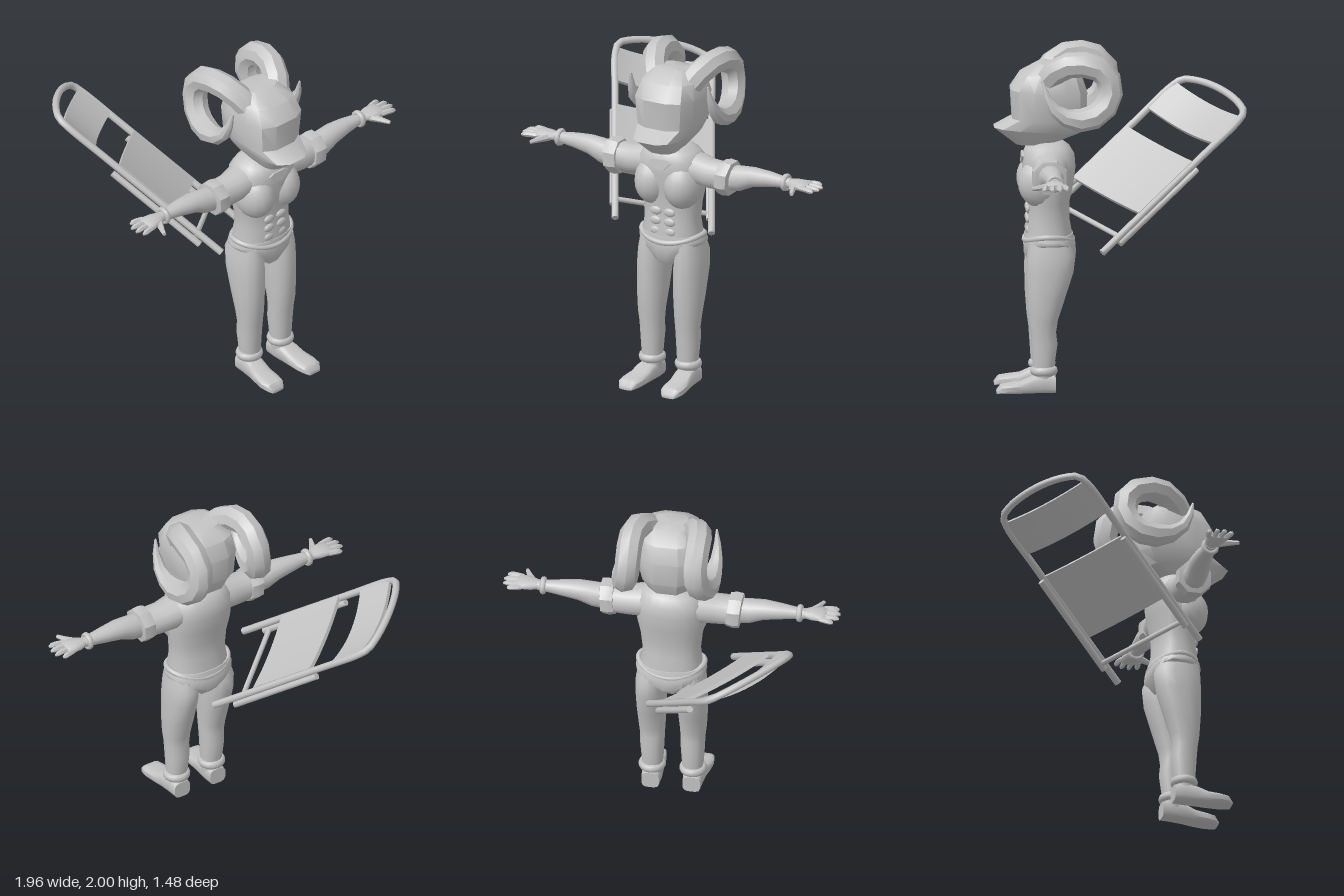
import * as THREE from 'three';
import { toCreasedNormals } from 'three/addons/utils/BufferGeometryUtils.js';

const V = (x, y, z) => new THREE.Vector3(x, y, z);

// Skin a list of equal-length rings, cap both ends, and face it outwards.
function loft(rings, crease = 0.75) {
  const n = rings[0].length, pts = rings.flat(), tris = [];
  const mid = (r) => r.reduce((a, p) => a.add(p), V(0, 0, 0)).divideScalar(n);
  const first = pts.length, last = first + 1, top = (rings.length - 1) * n;
  pts.push(mid(rings[0]), mid(rings[rings.length - 1]));
  for (let j = 0; j < n; j++) {
    const k = (j + 1) % n;
    for (let i = 0; i < rings.length - 1; i++) {
      const a = i * n + j, b = i * n + k;
      tris.push([a, b, b + n], [a, b + n, a + n]);
    }
    tris.push([first, k, j], [last, top + j, top + k]);
  }
  let volume = 0;
  for (const [a, b, c] of tris) volume += pts[a].dot(pts[b].clone().cross(pts[c]));
  if (volume < 0) tris.forEach((t) => t.reverse());
  const geo = new THREE.BufferGeometry().setFromPoints(pts);
  geo.setIndex(tris.flat());
  return toCreasedNormals(geo, crease);
}

// Ring of superellipse points; place(c, s) turns unit coordinates into a point.
function ring(n, power, place) {
  const f = (v) => Math.sign(v) * Math.abs(v) ** (2 / power);
  return Array.from({ length: n }, (_, i) => {
    const t = ((i + 0.5) / n) * Math.PI * 2;
    return place(f(Math.cos(t)), f(Math.sin(t)));
  });
}

// Round bar along a curve, radius given by a function of 0..1.
function sweep(points, radius, steps, sides = 8, crease = 0.9) {
  const curve = new THREE.CatmullRomCurve3(points);
  const { normals, binormals } = curve.computeFrenetFrames(steps);
  return loft(normals.map((nv, i) => {
    const c = curve.getPointAt(i / steps), r = radius(i / steps);
    return ring(sides, 2, (a, b) => c.clone().addScaledVector(nv, a * r).addScaledVector(binormals[i], b * r));
  }), crease);
}

export function createModel() {
  const root = new THREE.Group();
  root.name = 'hornedFigure';
  const grey = new THREE.MeshStandardMaterial({ color: 0xc4c4c4 });
  grey.name = 'plain grey';
  const add = (name, geo, parent = root) => {
    const m = new THREE.Mesh(geo, grey);
    m.name = name;
    parent.add(m);
    return m;
  };
  const ball = (name, p, r) => add(name, new THREE.SphereGeometry(1, 16, 12).scale(...r).translate(...p));

  // Torso: height, half width, back z, front z
  add('torso', loft([
    [0.84, 0.185, 0.285, 0.555], [0.92, 0.178, 0.285, 0.555], [1.0, 0.168, 0.3, 0.545],
    [1.1, 0.178, 0.3, 0.54], [1.2, 0.198, 0.278, 0.56], [1.3, 0.203, 0.265, 0.572],
    [1.37, 0.198, 0.27, 0.57], [1.42, 0.16, 0.3, 0.55], [1.45, 0.1, 0.34, 0.5],
  ].map(([y, w, b, f]) => ring(20, 2.3, (c, s) => V(c * w, y, (b + f) / 2 + (s * (f - b)) / 2))), 1.1));

  // Chest and stomach muscles
  for (const s of [-1, 1]) {
    ball('chest', [s * 0.095, 1.22, 0.468], [0.112, 0.145, 0.132]);
    [0.94, 1.0, 1.06].forEach((y) => ball('stomachMuscle', [s * 0.045, y, 0.541], [0.037, 0.025, 0.014]));
  }

  // Collar badge
  const badge = new THREE.Shape([[-0.07, 0.02], [-0.04, 0.035], [0.04, 0.035], [0.07, 0.02], [0.025, -0.025], [-0.025, -0.025]]
    .map(([x, y]) => new THREE.Vector2(x, y)));
  const badgeMesh = add('collarBadge', new THREE.ExtrudeGeometry(badge, { depth: 0.012, bevelEnabled: false }));
  badgeMesh.position.set(0, 1.35, 0.567);
  badgeMesh.rotation.x = -0.1;

  // Briefs with high-cut sides, and the waistband
  add('briefs', loft([
    [0.915, 0, 0.194, 0.28, 0.558], [0.85, 0.035, 0.204, 0.265, 0.565],
    [0.78, 0.09, 0.206, 0.262, 0.562], [0.71, 0.15, 0.2, 0.32, 0.525],
  ].map(([y, lift, w, b, f]) => ring(24, 2.2, (c, s) => V(c * w, y + lift * Math.min(1, Math.abs(c) * 1.05), (b + f) / 2 + (s * (f - b)) / 2))), 1));
  const band = Array.from({ length: 24 }, (_, i) => {
    const t = (i / 24) * Math.PI * 2, s = Math.sin(t);
    return V(0.192 * Math.cos(t), 0.915 - 0.04 * s * s, 0.42 + 0.138 * s);
  });
  add('waistband', new THREE.TubeGeometry(new THREE.CatmullRomCurve3(band, true), 48, 0.016, 8, true));

  for (const s of [-1, 1]) {
    const side = s > 0 ? 'left' : 'right';
    const leg = new THREE.Group(), arm = new THREE.Group();
    leg.name = side + 'LegGroup';
    arm.name = side + 'ArmGroup';
    root.add(leg, arm);

    // Leg: height, centre x, half width, back z, front z
    add(side + 'Leg', loft([
      [0.88, 0.112, 0.075, 0.3, 0.54], [0.8, 0.118, 0.085, 0.27, 0.55], [0.7, 0.12, 0.088, 0.282, 0.554],
      [0.55, 0.12, 0.085, 0.33, 0.55], [0.42, 0.12, 0.077, 0.372, 0.54], [0.35, 0.118, 0.071, 0.382, 0.53],
      [0.28, 0.118, 0.069, 0.374, 0.525], [0.13, 0.117, 0.06, 0.395, 0.515], [0.06, 0.117, 0.055, 0.4, 0.51],
    ].map(([y, x, w, b, f]) => ring(14, 2.2, (c, k) => V(s * (x + c * w), y, (b + f) / 2 + (k * (f - b)) / 2))), 1.1), leg);
    const cuff = add(side + 'AnkleCuff', new THREE.TorusGeometry(0.061, 0.019, 8, 16), leg);
    cuff.rotation.x = Math.PI / 2;
    cuff.scale.z = 1.35;
    cuff.position.set(s * 0.119, 0.128, 0.452);

    // Shoe: z, half width, height, outward shift
    add(side + 'Shoe', loft([
      [0.386, 0.052, 0.1, 0], [0.45, 0.058, 0.11, 0], [0.52, 0.06, 0.098, 0.005], [0.58, 0.064, 0.07, 0.012],
      [0.65, 0.068, 0.06, 0.018], [0.7, 0.06, 0.052, 0.02], [0.725, 0.042, 0.02, 0.02],
    ].map(([z, w, h, o]) => ring(12, 3.5, (c, k) => V(s * (0.12 + o + c * w), (h / 2) * (1 + k), z)))), leg);

    // Sleeve and arm: x, centre y, half height, centre z, half depth
    const limb = (rows) => loft(rows.map(([x, y, h, z, d]) => ring(12, 2.1, (c, k) => V(s * x, y + k * h, z + c * d))), 1);
    add(side + 'Sleeve', limb([
      [0.1, 1.33, 0.085, 0.42, 0.1], [0.18, 1.318, 0.09, 0.42, 0.105], [0.25, 1.305, 0.086, 0.425, 0.093], [0.36, 1.303, 0.085, 0.43, 0.088],
    ]), arm);
    add(side + 'SleeveCuff', loft([[0.325, 0.08], [0.33, 0.101], [0.365, 0.109], [0.405, 0.104], [0.41, 0.078]]
      .map(([x, r]) => ring(8, 2, (c, k) => V(s * (x + 0.008 * k), 1.303 + k * r, 0.432 + c * r))), 0.5), arm);
    add(side + 'Forearm', limb([
      [0.38, 1.303, 0.076, 0.43, 0.07], [0.46, 1.312, 0.074, 0.428, 0.068], [0.54, 1.333, 0.057, 0.424, 0.064],
      [0.64, 1.338, 0.045, 0.42, 0.05], [0.74, 1.338, 0.032, 0.42, 0.034], [0.78, 1.34, 0.028, 0.42, 0.034],
    ]), arm);
    const wrist = add(side + 'Wristband', new THREE.TorusGeometry(0.04, 0.013, 8, 12), arm);
    wrist.rotation.y = Math.PI / 2;
    wrist.scale.z = 1.3;
    wrist.position.set(s * 0.748, 1.338, 0.42);

    // Hand with four fingers and a thumb
    add(side + 'Palm', limb([
      [0.77, 1.34, 0.024, 0.42, 0.032], [0.82, 1.342, 0.028, 0.425, 0.056], [0.88, 1.343, 0.026, 0.425, 0.063], [0.9, 1.343, 0.015, 0.425, 0.055],
    ]), arm);
    [[0.375, 0.36, 0.95], [0.408, 0.401, 0.978], [0.442, 0.445, 0.98], [0.475, 0.49, 0.965]].forEach(([z0, z1, x]) =>
      add(side + 'Finger', sweep([V(s * 0.87, 1.343, z0), V(s * (x - 0.03), 1.343, z1 - (z1 - z0) * 0.2), V(s * x, 1.338, z1)],
        (t) => (t > 0.99 ? 0.007 : 0.016), 5, 6), arm));
    add(side + 'Thumb', sweep([V(s * 0.81, 1.337, 0.45), V(s * 0.84, 1.333, 0.505), V(s * 0.865, 1.33, 0.56)],
      (t) => 0.024 - 0.013 * t, 4, 6), arm);

    // Curled horn
    add(side + 'Horn', sweep([
      V(s * 0.11, 1.82, 0.43), V(s * 0.165, 1.905, 0.35), V(s * 0.195, 1.925, 0.22), V(s * 0.195, 1.875, 0.105),
      V(s * 0.2, 1.76, 0.073), V(s * 0.225, 1.65, 0.13), V(s * 0.25, 1.61, 0.25), V(s * 0.262, 1.64, 0.36),
      V(s * 0.265, 1.71, 0.425), V(s * 0.255, 1.84, 0.465),
    ], (t) => (t < 0.68 ? 0.076 - 0.008 * t : 0.07 - (t - 0.68) * 0.2), 13, 8, 0.6), root);
  }

  // Head mask: front z, front y, back z, back y, half width
  add('head', loft([
    [0.61, 1.435, 0.4, 1.435, 0.085], [0.74, 1.537, 0.24, 1.5, 0.142], [0.635, 1.59, 0.2, 1.59, 0.176],
    [0.645, 1.76, 0.195, 1.74, 0.192], [0.585, 1.85, 0.23, 1.84, 0.168], [0.48, 1.91, 0.31, 1.9, 0.105],
  ].map(([zf, yf, zb, yb, w]) => ring(12, 2.9, (c, k) => {
    const t = (1 + k) / 2;
    return V(c * w, yb + (yf - yb) * t, zb + (zf - zb) * t);
  })), 0.6));

  // Folding chair slung across the back: down along the rails, across, and up from the seat
  const chair = new THREE.Group();
  chair.name = 'foldingChair';
  root.add(chair);
  const down = V(0.407, -0.585, 0.703).normalize(), across = V(-0.747, 0.226, 0.625).normalize();
  const up = across.clone().cross(down).normalize(), width = 0.576, len = 1.175;
  const at = (d, w, u = 0) => V(-0.4, 1.49, -0.71).addScaledVector(down, d).addScaledVector(across, w * width).addScaledVector(up, u);
  const bow = [];
  for (let i = 1; i < 8; i++) {
    const a = (i / 8) * Math.PI;
    bow.push(at(-0.1 * Math.sin(a), 0.5 - 0.5 * Math.cos(a)));
  }
  add('chairFrame', sweep([at(len, 0), at(0.7, 0), at(0.3, 0), at(0.04, 0), ...bow,
    at(0.04, 1), at(0.3, 1), at(0.7, 1), at(len, 1)], () => 0.021, 70), chair);
  for (const w of [0, 1]) add('chairBackLeg', sweep([at(0.4, w, -0.046), at(1.05, w, -0.046)], () => 0.02, 1), chair);
  add('chairCrossbar', sweep([at(1.01, 0, -0.046), at(1.01, 1, -0.046)], () => 0.015, 1), chair);
  const panel = (name, from, to, sag, lift) => {
    const half = width / 2 - 0.005;
    const geo = new THREE.BoxGeometry(half * 2, 0.022, to - from, 12, 1, 1), p = geo.attributes.position;
    for (let i = 0; i < p.count; i++) p.setY(i, p.getY(i) - sag * (1 - (p.getX(i) / half) ** 2));
    geo.computeVertexNormals();
    geo.applyMatrix4(new THREE.Matrix4().makeBasis(across, up, down.clone().negate()).setPosition(at((from + to) / 2, 0.5, lift)));
    add(name, geo, chair);
  };
  panel('chairBackrest', 0.0, 0.23, 0.045, 0.005);
  panel('chairSeat', 0.4, 0.85, 0.015, 0.012);
  return root;
}
